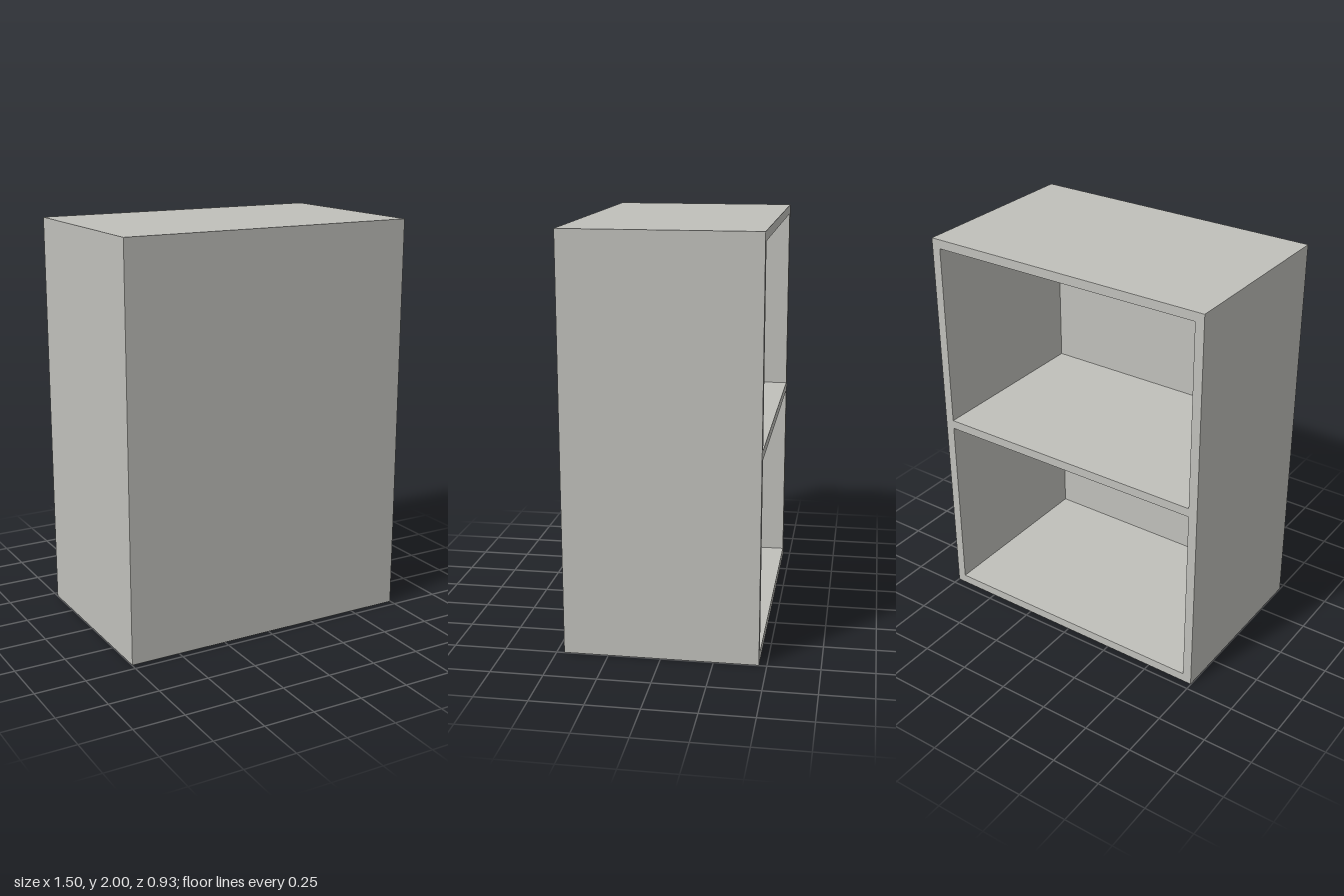
import * as THREE from 'three';

// Two-compartment cabinet: open at the back (-z), closed by a thin panel at the front (+z)
const W = 1.496, H = 2, D = 0.926; // overall size
const T = 0.045;                   // board thickness
const P = 0.0075;                  // front panel thickness

export function createModel() {
  const cabinet = new THREE.Group();
  cabinet.name = 'cabinet';
  const greyBoard = new THREE.MeshStandardMaterial({ color: 0xc0c0bb });
  greyBoard.name = 'greyBoard';

  const addBoard = (name, w, h, d, x, y, z) => {
    const mesh = new THREE.Mesh(new THREE.BoxGeometry(w, h, d), greyBoard);
    mesh.name = name;
    mesh.position.set(x, y, z);
    cabinet.add(mesh);
  };

  const depth = D - P, z = -P / 2; // boards sit behind the front panel

  // Side walls
  for (const [name, s] of [['leftSide', 1], ['rightSide', -1]])
    addBoard(name, T, H, depth, s * (W - T) / 2, H / 2, z);

  // Horizontal boards between the sides
  for (const [name, y] of [['bottomBoard', T / 2], ['middleShelf', H / 2], ['topBoard', H - T / 2]])
    addBoard(name, W - 2 * T, T, depth, 0, y, z);

  // Thin panel closing the front
  addBoard('frontPanel', W, H, P, 0, H / 2, (D - P) / 2);

  return cabinet;
}
